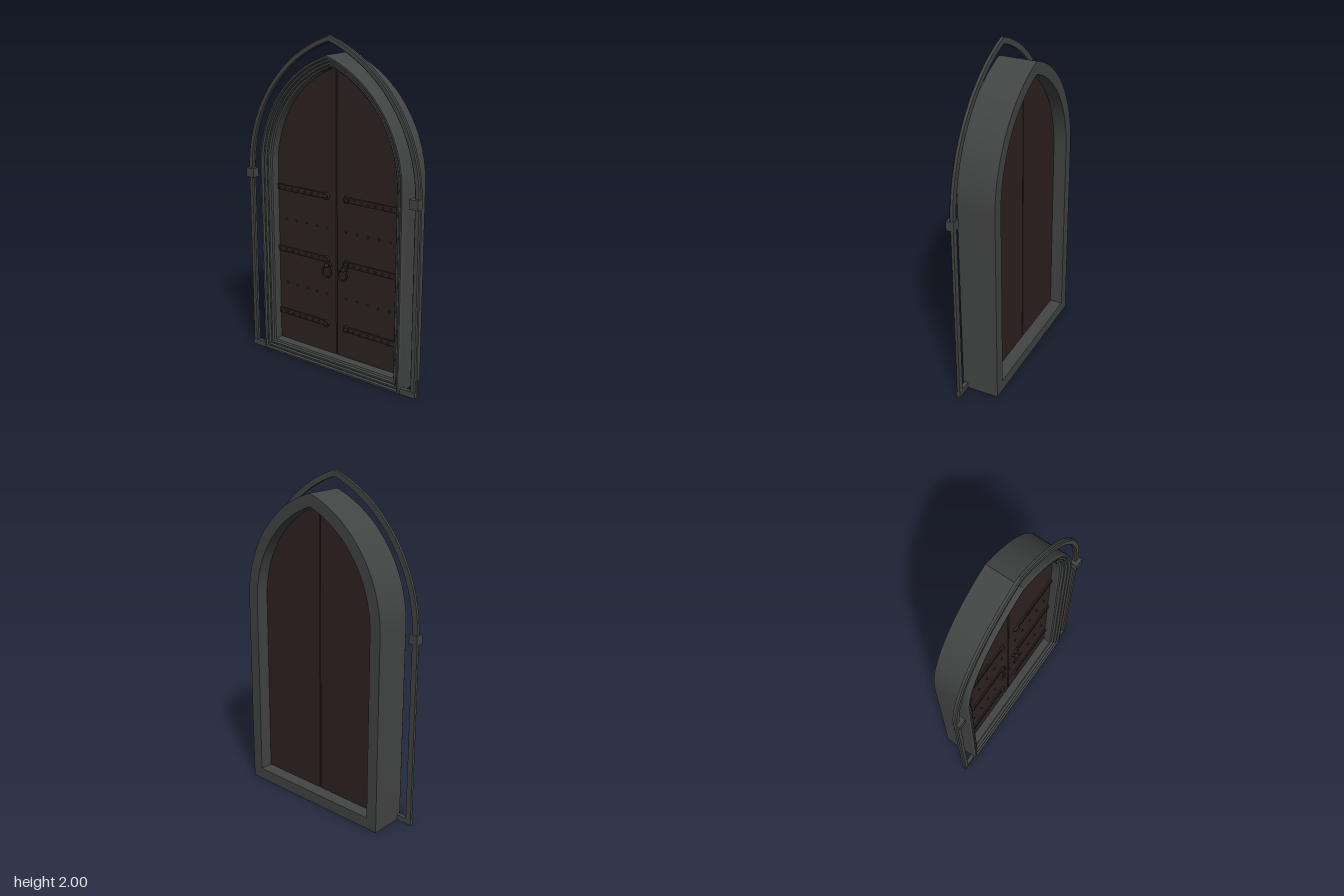
import * as THREE from 'three';
import { toCreasedNormals } from 'three/addons/utils/BufferGeometryUtils.js';

const stone = new THREE.MeshStandardMaterial({ color: 0x434444 });
stone.name = 'dark stone';
const wood = new THREE.MeshStandardMaterial({ color: 0x2e2221 });
wood.name = 'dark wood';
const iron = new THREE.MeshStandardMaterial({ color: 0x272121 });
iron.name = 'black iron';

const FRAME = { half: 0.51, spring: 1.2, rise: 0.695 };
const HOOD = { half: 0.61, spring: 1.16, rise: 0.84 };
const DOOR_FRONT = 0.02, DOOR_BACK = -0.04;

// Right half of a pointed arch, inset by d, from spring line to apex
function halfArc({ half, spring, rise }, d, n = 20) {
  const c = (rise * rise - half * half) / (2 * half);
  const r = half + c - d;
  const end = Math.acos(c / r);
  return Array.from({ length: n + 1 }, (_, i) => {
    const t = (end * i) / n;
    return [i === n ? 0 : r * Math.cos(t) - c, spring + r * Math.sin(t)];
  });
}

// Whole outline, anticlockwise from the bottom right corner
function outline(arch, d, base) {
  const right = [[arch.half - d, base], ...halfArc(arch, d)];
  const left = right.slice(0, -1).reverse().map(([x, y]) => [-x, y]);
  return [...right, ...left];
}

// Sweep a profile of [inset, z] pairs along an arch
function sweepArch(arch, profile, closed) {
  const rings = profile.map(([d, z]) =>
    outline(arch, d, closed ? d : 0).map(([x, y]) => [x, y, z]));
  const count = rings[0].length;
  const pos = [];
  for (let j = 0; j < rings.length; j++) {
    const p = rings[j], q = rings[(j + 1) % rings.length];
    for (let i = 0; i < (closed ? count : count - 1); i++) {
      const k = (i + 1) % count;
      pos.push(...p[i], ...p[k], ...q[k], ...p[i], ...q[k], ...q[i]);
    }
  }
  const g = new THREE.BufferGeometry();
  g.setAttribute('position', new THREE.Float32BufferAttribute(pos, 3));
  return toCreasedNormals(g, 0.4);
}

function add(parent, name, geometry, material, x = 0, y = 0, z = 0) {
  const m = new THREE.Mesh(geometry, material);
  m.name = name;
  m.position.set(x, y, z);
  parent.add(m);
  return m;
}

function doorLeaf(s) {
  const leaf = new THREE.Group();
  leaf.name = s > 0 ? 'leftDoorLeaf' : 'rightDoorLeaf';

  // Wooden panel, leaving a narrow gap in the middle
  const pts = [[0.004, 0.065], [FRAME.half - 0.065, 0.065], ...halfArc(FRAME, 0.065)];
  const shape = new THREE.Shape(pts.map(([x, y]) => new THREE.Vector2(s * Math.max(x, 0.004), y)));
  const panel = new THREE.ExtrudeGeometry(shape, { depth: DOOR_FRONT - DOOR_BACK, bevelEnabled: false });
  add(leaf, 'panel', toCreasedNormals(panel, 0.4), wood, 0, 0, DOOR_BACK);

  const studGeo = new THREE.SphereGeometry(0.007, 8, 6);
  const discGeo = new THREE.CylinderGeometry(0.02, 0.024, 0.012, 16).rotateX(Math.PI / 2);

  // Hinge straps with a round end and rivets
  for (const y of [1.065, 0.672, 0.257]) {
    add(leaf, 'hingeStrap', new THREE.BoxGeometry(0.37, 0.03, 0.008), wood, s * 0.257, y, DOOR_FRONT + 0.004);
    for (const e of [-1, 1]) {
      add(leaf, 'strapEdge', new THREE.BoxGeometry(0.37, 0.004, 0.01), iron, s * 0.257, y + e * 0.015, DOOR_FRONT + 0.005);
    }
    add(leaf, 'strapEnd', discGeo, iron, s * 0.075, y, DOOR_FRONT + 0.008);
    add(leaf, 'strapBoss', new THREE.SphereGeometry(0.011, 12, 8), iron, s * 0.075, y, DOOR_FRONT + 0.014);
    for (let i = 0; i < 7; i++) {
      add(leaf, 'rivet', studGeo, iron, s * (0.13 + i * 0.05), y, DOOR_FRONT + 0.009);
    }
  }

  // Rows of studs between the straps
  for (const y of [0.87, 0.452]) {
    for (let i = 0; i < 5; i++) {
      add(leaf, 'stud', studGeo, iron, s * (0.07 + i * 0.077), y, DOOR_FRONT + 0.001);
    }
  }

  // Ring handle hanging from a boss
  add(leaf, 'handlePlate', discGeo, iron, s * 0.062, 0.642, DOOR_FRONT + 0.006);
  add(leaf, 'handleBoss', new THREE.SphereGeometry(0.014, 12, 8), iron, s * 0.062, 0.638, DOOR_FRONT + 0.02);
  add(leaf, 'handleRing', new THREE.TorusGeometry(0.032, 0.006, 8, 28), iron, s * 0.058, 0.602, DOOR_FRONT + 0.024);
  return leaf;
}

export function createModel() {
  const model = new THREE.Group();
  model.name = 'archedDoorway';

  // Deep frame with stepped mouldings on the front
  add(model, 'frame', sweepArch(FRAME, [
    [0, -0.12], [0, 0.1], [0.006, 0.11], [0.016, 0.11],
    [0.021, 0.097], [0.025, 0.1], [0.034, 0.1],
    [0.038, 0.085], [0.042, 0.088], [0.051, 0.088],
    [0.055, 0.073], [0.066, 0.068], [0.07, 0.06], [0.07, -0.12],
  ], true), stone);

  // Thin hood moulding standing clear of the frame
  add(model, 'hoodMoulding', sweepArch(HOOD, [
    [0, 0.075], [0, 0.091], [0.006, 0.098], [0.029, 0.098], [0.035, 0.091], [0.035, 0.075],
  ], false), stone);

  for (const s of [-1, 1]) {
    // Blocks at the spring line and feet joining hood and frame
    add(model, 'capital', new THREE.BoxGeometry(0.056, 0.056, 0.048), stone, s * 0.582, 1.147, 0.096);
    add(model, 'foot', new THREE.BoxGeometry(0.108, 0.036, 0.024), stone, s * 0.556, 0.018, 0.087);
    model.add(doorLeaf(s));
  }
  return model;
}
